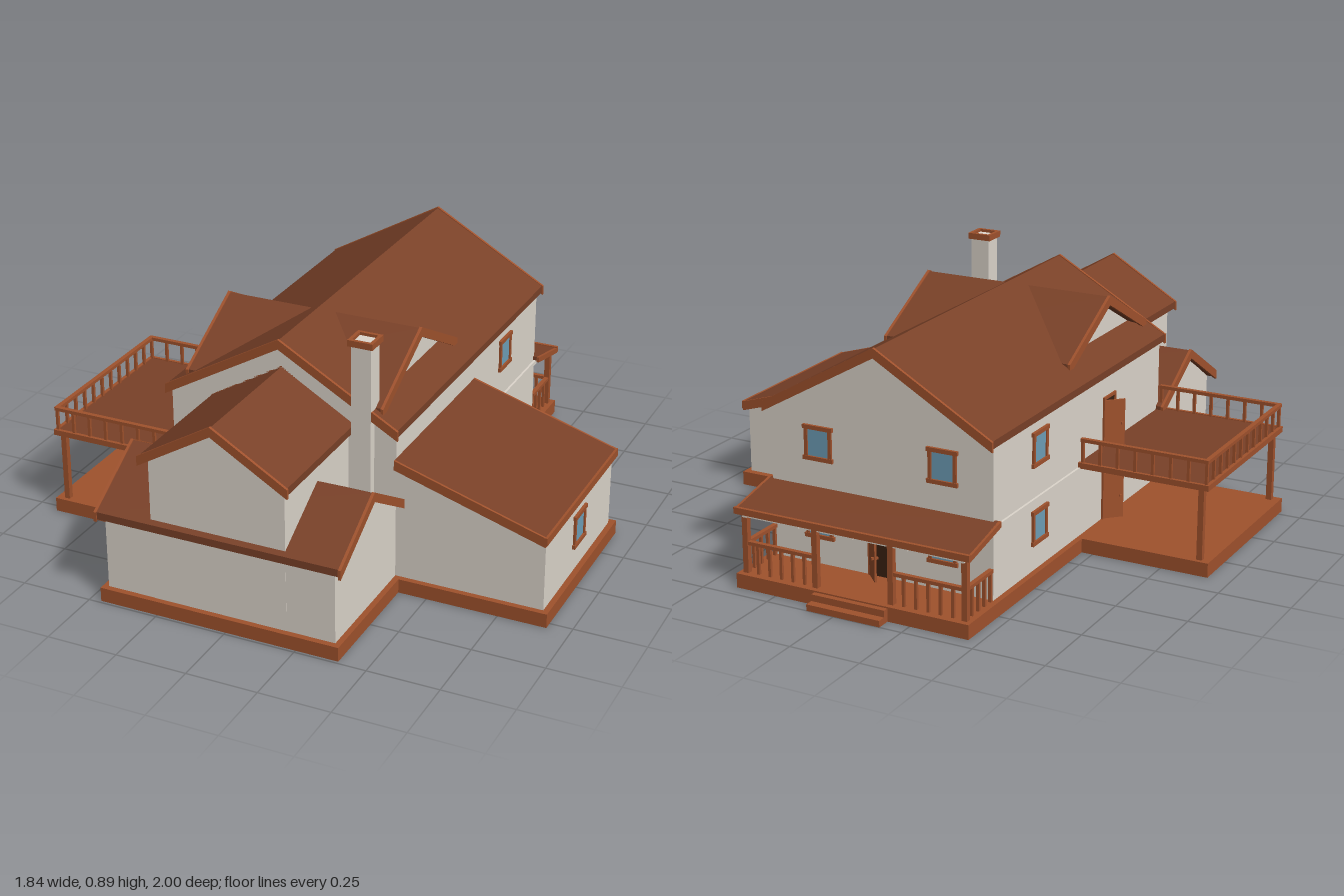
import * as THREE from 'three';

const mat = (color) => new THREE.MeshStandardMaterial({ color, flatShading: true, side: THREE.DoubleSide });
const wall = mat(0xddd6cc), roof = mat(0x7a4128), trim = mat(0xa0522d), glass = mat(0x6f9fb8), dark = mat(0x3a2012);

export function createModel() {
  const model = new THREE.Group();
  const MID = -0.03; // x of the main ridge

  const add = (name, geo, material, parent = model) => {
    const m = new THREE.Mesh(geo, material);
    m.name = name;
    parent.add(m);
    return m;
  };
  // box given by its min and max corners
  const box = (name, x0, x1, y0, y1, z0, z1, material, parent) => add(name,
    new THREE.BoxGeometry(x1 - x0, y1 - y0, z1 - z0)
      .translate((x0 + x1) / 2, (y0 + y1) / 2, (z0 + z1) / 2), material, parent);
  // outline swept between two positions along z, or along x (outline then lies in z, y)
  const sweep = (name, pts, from, to, axis, material) => {
    const shape = new THREE.Shape(pts.map(([u, v]) => new THREE.Vector2(axis === 'x' ? -u : u, v)));
    const geo = new THREE.ExtrudeGeometry(shape, { depth: to - from, bevelEnabled: false }).translate(0, 0, from);
    if (axis === 'x') geo.rotateY(Math.PI / 2);
    return add(name, geo, material);
  };
  const chevron = (c, h, eave, ridge, t) => [
    [c - h, eave - t], [c, ridge - t], [c + h, eave - t], [c + h, eave], [c, ridge], [c - h, eave]];
  const gableRoof = (name, c, h, eave, ridge, from, to, axis) => {
    sweep(name, chevron(c, h, eave, ridge, 0.026), from + 0.008, to - 0.008, axis, roof);
    const board = chevron(c, h + 0.004, eave, ridge + 0.004, 0.034);
    sweep(name + 'BargeBoard', board, from, from + 0.01, axis, trim);
    sweep(name + 'BargeBoard', board, to - 0.01, to, axis, trim);
  };
  const gableBody = (name, c, h, y0, eave, ridge, from, to, axis) => sweep(name,
    [[c - h, y0], [c + h, y0], [c + h, eave], [c, ridge], [c - h, eave]], from, to, axis, wall);

  // foundation and back steps
  const plan = new THREE.Shape([
    [-0.46, -0.95], [0.40, -0.95], [0.40, -0.15], [0.92, -0.15], [0.92, 0.53], [0.40, 0.53],
    [0.40, 0.99], [-0.46, 0.99], [-0.46, 0.53], [-0.92, 0.53], [-0.92, -0.15], [-0.46, -0.15],
  ].map(([x, z]) => new THREE.Vector2(x, -z)));
  add('foundation', new THREE.ExtrudeGeometry(plan, { depth: 0.05, bevelEnabled: false }).rotateX(-Math.PI / 2), trim);
  box('upperStep', -0.17, 0.10, 0, 0.045, -0.97, -0.94, trim);
  box('lowerStep', -0.17, 0.10, 0, 0.022, -1, -0.96, trim);

  // main house
  gableBody('mainWalls', MID, 0.41, 0.05, 0.575, 0.806, -0.75, 0.51, 'z');
  gableRoof('mainRoof', MID, 0.42, 0.592, 0.83, -0.785, 0.535, 'z');
  box('floorBand', -0.448, 0.388, 0.287, 0.303, -0.758, 0.5, wall);

  // front extension: upper block and cross-gabled ground floor
  gableBody('frontUpperWalls', MID, 0.24, 0.05, 0.57, 0.705, 0.5, 0.97, 'z');
  gableRoof('frontUpperRoof', MID, 0.26, 0.575, 0.728, 0.5, 1, 'z');
  gableBody('frontLowerWalls', 0.74, 0.229, 0.05, 0.31, 0.455, -0.44, 0.38, 'x');
  gableRoof('frontLowerRoof', 0.74, 0.247, 0.33, 0.476, -0.47, 0.41, 'x');

  // dormers on both sides of the main roof
  gableBody('dormerWalls', 0.195, 0.27, 0.6, 0.64, 0.785, -0.345, 0.285, 'x');
  gableRoof('dormerRoof', 0.195, 0.305, 0.645, 0.805, -0.39, 0.33, 'x');

  // side wing with a lean-to roof
  sweep('wingWalls', [[0.37, 0.05], [0.9, 0.05], [0.9, 0.31], [0.37, 0.465]], -0.125, 0.51, 'z', wall);
  const lean = (t) => [[0.38, 0.485 - t], [0.906, 0.325 - t], [0.906, 0.325], [0.38, 0.485]];
  sweep('wingRoof', lean(0.028), -0.147, 0.522, 'z', roof);
  for (const z of [-0.155, 0.52]) sweep('wingBargeBoard', lean(0.034), z, z + 0.01, 'z', trim);
  box('wingFascia', 0.9, 0.911, 0.298, 0.326, -0.155, 0.53, trim);

  // chimney with an open cap
  box('chimney', 0.232, 0.302, 0.05, 0.878, 0.472, 0.538, wall);
  box('chimneyCap', 0.223, 0.235, 0.866, 0.888, 0.463, 0.547, trim);
  box('chimneyCap', 0.299, 0.311, 0.866, 0.888, 0.463, 0.547, trim);
  box('chimneyCap', 0.235, 0.299, 0.866, 0.888, 0.463, 0.475, trim);
  box('chimneyCap', 0.235, 0.299, 0.866, 0.888, 0.535, 0.547, trim);

  // windows and doors face local +z
  const place = (name, x, y, z, turn) => {
    const g = new THREE.Group();
    g.name = name;
    g.position.set(x, y, z);
    g.rotation.y = turn;
    model.add(g);
    return g;
  };
  const windowAt = (x, y, z, turn) => {
    const g = place('window', x, y, z, turn);
    box('pane', -0.042, 0.042, -0.05, 0.05, -0.005, 0.003, glass, g);
    for (const s of [-1, 1]) {
      box('jamb', s * 0.045 - 0.006, s * 0.045 + 0.006, -0.05, 0.05, -0.005, 0.008, trim, g);
      box('sillOrLintel', -0.056, 0.056, s * 0.053 - 0.007, s * 0.053 + 0.007, -0.005, 0.01, trim, g);
    }
  };
  const doorAt = (x, y, z, turn) => {
    const g = place('door', x, y, z, turn);
    box('opening', -0.04, 0.04, 0, 0.168, -0.005, 0.002, dark, g);
    for (const s of [-1, 1]) box('jamb', s * 0.043 - 0.004, s * 0.043 + 0.004, 0, 0.17, -0.005, 0.007, trim, g);
    box('lintel', -0.047, 0.047, 0.168, 0.178, -0.005, 0.007, trim, g);
    const leaf = new THREE.Group();
    leaf.name = 'doorLeaf';
    leaf.position.x = -0.039;
    leaf.rotation.y = -Math.PI / 4;
    g.add(leaf);
    box('panel', 0, 0.075, 0.002, 0.167, 0, 0.007, trim, leaf);
    box('knob', 0.06, 0.068, 0.078, 0.086, -0.008, 0.015, trim, leaf);
  };
  const R = Math.PI / 2;
  for (const y of [0.2, 0.47]) {
    windowAt(0.38, y, -0.435, R);
    windowAt(-0.44, y, -0.435, -R);
    for (const s of [-1, 1]) windowAt(MID + s * 0.23, y, -0.75, Math.PI);
  }
  windowAt(0.9, 0.2, 0.195, R);
  doorAt(0.645, 0.05, -0.125, Math.PI);
  doorAt(MID, 0.05, -0.75, Math.PI);
  doorAt(-0.44, 0.05, 0.09, -R);
  doorAt(-0.44, 0.315, 0.09, -R);

  // railing between two plan points
  const railing = (name, x0, z0, x1, z1, y0, y1) => {
    const len = Math.hypot(x1 - x0, z1 - z0);
    const g = place(name, x0, 0, z0, Math.atan2(z0 - z1, x1 - x0));
    box('handrail', -0.006, len + 0.006, y1 - 0.012, y1, -0.008, 0.008, trim, g);
    const n = Math.max(2, Math.round(len / (y0 < 0.2 ? 0.045 : 0.06)));
    for (let i = 0; i <= n; i++) {
      const x = (len * i) / n;
      box('baluster', x - 0.005, x + 0.005, y0, y1 - 0.01, -0.005, 0.005, trim, g);
    }
  };

  // balcony over the side terrace
  box('balconyDeck', -0.905, -0.43, 0.303, 0.317, -0.14, 0.52, roof);
  box('balconyFascia', -0.912, -0.9, 0.3, 0.32, -0.147, 0.527, trim);
  for (const z of [-0.147, 0.515]) box('balconyFascia', -0.9, -0.44, 0.3, 0.32, z, z + 0.012, trim);
  for (const z of [-0.125, 0.505]) box('balconyPost', -0.892, -0.872, 0.05, 0.303, z - 0.01, z + 0.01, trim);
  railing('balconyRailing', -0.9, -0.135, -0.9, 0.515, 0.317, 0.405);
  for (const z of [-0.135, 0.515]) railing('balconyRailing', -0.9, z, -0.452, z, 0.317, 0.405);

  // back porch: sloping roof on rafters, posts and railings
  const slope = (t, d = 0) => [[-0.74, 0.32 - d - t], [-0.74, 0.32 - d], [-0.94, 0.276 - d], [-0.94, 0.276 - d - t]];
  sweep('porchRoof', slope(0.014), -0.455, 0.395, 'x', roof);
  for (const x of [-0.463, 0.393]) sweep('porchBargeBoard', slope(0.02), x, x + 0.01, 'x', trim);
  box('porchFascia', -0.463, 0.403, 0.258, 0.28, -0.95, -0.938, trim);
  box('porchBeam', -0.44, 0.38, 0.244, 0.26, -0.929, -0.913, wall);
  for (let i = 0; i < 5; i++) {
    const x = -0.44 + i * 0.2;
    sweep('porchRafter', slope(0.016, 0.013), x, x + 0.016, 'x', wall);
  }
  for (const x of [-0.435, -0.17, 0.11, 0.375]) box('porchPost', x - 0.01, x + 0.01, 0.05, 0.262, -0.931, -0.911, trim);
  railing('porchRailing', -0.435, -0.921, -0.17, -0.921, 0.05, 0.16);
  railing('porchRailing', 0.11, -0.921, 0.375, -0.921, 0.05, 0.16);
  for (const x of [-0.435, 0.375]) railing('porchRailing', x, -0.921, x, -0.76, 0.05, 0.16);

  return model;
}
